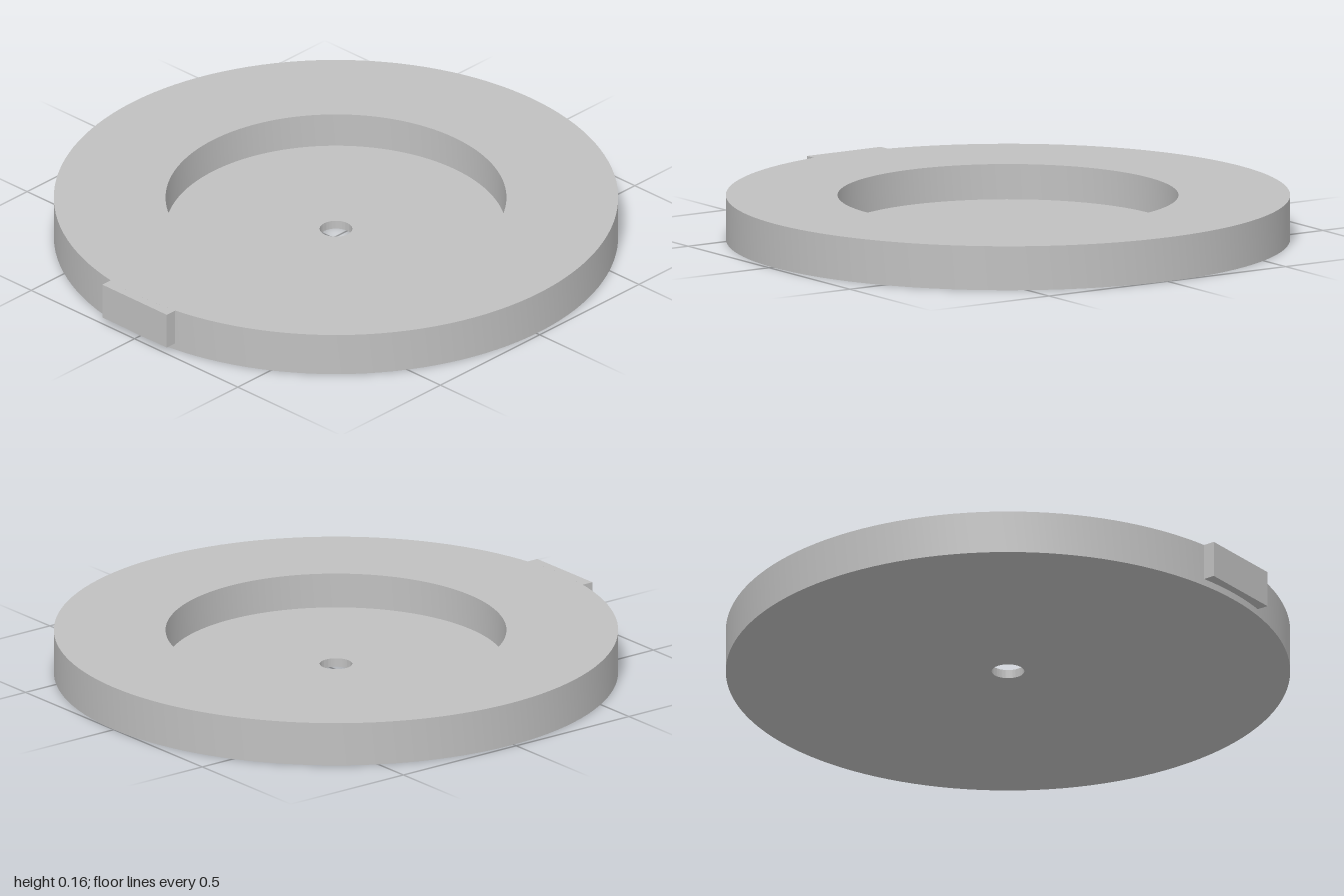
import * as THREE from 'three';
import { toCreasedNormals } from 'three/addons/utils/BufferGeometryUtils.js';

const R = 0.985, H = 0.156, FLOOR = 0.031, CENTER_Z = -0.015;
const RECESS_R = 0.595, HOLE_R = 0.057;
const TAB_HALF = 0.156, TAB_BOTTOM = 0.025;

export function createModel() {
  const model = new THREE.Group();
  const grey = new THREE.MeshStandardMaterial({ color: 0xc0c0c0 });
  grey.name = 'light grey';

  // Round plate with a stepped recess and a through hole
  const profile = [
    [HOLE_R, 0], [R, 0], [R, H], [RECESS_R, H],
    [RECESS_R, FLOOR], [HOLE_R, FLOOR], [HOLE_R, 0],
  ].map(([r, y]) => new THREE.Vector2(r, y));
  const disc = new THREE.Mesh(toCreasedNormals(new THREE.LatheGeometry(profile, 128), 0.6), grey);
  disc.name = 'recessedDisc';
  disc.position.z = CENTER_Z;
  model.add(disc);

  // Flat-faced tab whose back follows the rim
  const a = Math.acos(TAB_HALF / R);
  const outline = new THREE.Shape();
  outline.moveTo(-TAB_HALF, 1);
  outline.lineTo(TAB_HALF, 1);
  outline.absarc(0, CENTER_Z, R, a, Math.PI - a, false);
  outline.closePath();
  const tabGeometry = new THREE.ExtrudeGeometry(outline, { depth: H - TAB_BOTTOM, bevelEnabled: false });
  tabGeometry.rotateX(Math.PI / 2);
  const tab = new THREE.Mesh(tabGeometry, grey);
  tab.name = 'rimTab';
  tab.position.y = H;
  model.add(tab);

  return model;
}
